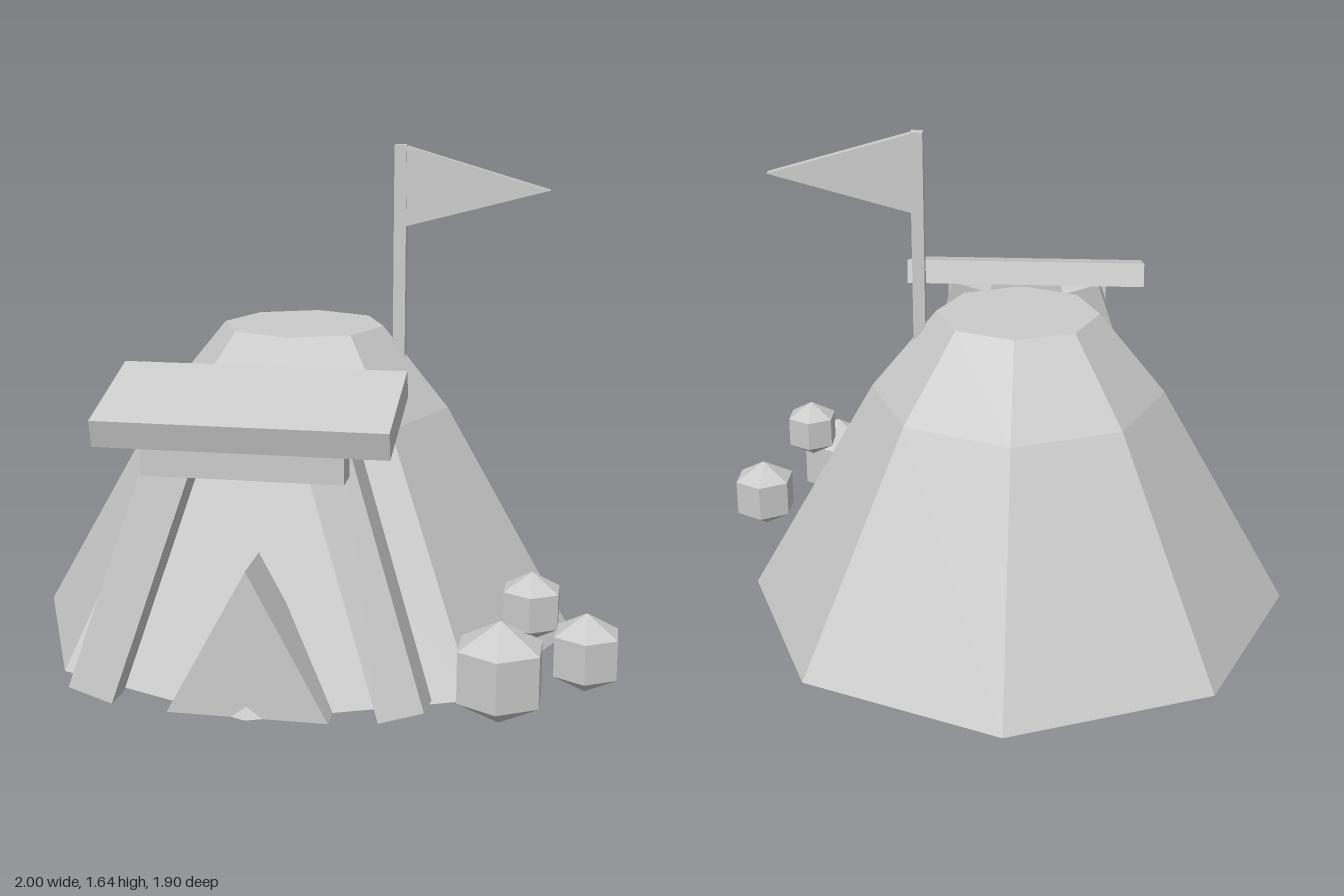
import * as THREE from 'three';

const CX = -0.08; // axis of the hut and its porch
const CZ = -0.03;

export function createModel() {
  const group = new THREE.Group();
  const mat = new THREE.MeshStandardMaterial({ color: 0xcccccc, flatShading: true });

  const add = (name, geometry, x, y, z) => {
    const mesh = new THREE.Mesh(geometry, mat);
    mesh.name = name;
    mesh.position.set(x, y, z);
    group.add(mesh);
    return mesh;
  };

  // Solid triangle, extruded along z
  const triangle = (points, depth) =>
    new THREE.ExtrudeGeometry(
      new THREE.Shape(points.map(([x, y]) => new THREE.Vector2(x, y))),
      { depth, bevelEnabled: false }
    );

  // Eight-sided hut, steeper below and shallower above, with a flat top
  const profile = [[0, 0.015], [0.92, 0.015], [0.49, 0.775], [0.27, 1.045], [0, 1.045]];
  add('hutBody', new THREE.LatheGeometry(profile.map(([r, y]) => new THREE.Vector2(r, y)), 8), CX, 0, CZ);

  // Pointed doorway
  add('doorway', triangle([[-0.245, 0.015], [0.245, 0.015], [0, 0.47]], 0.185), CX, 0, 0.685);

  // Porch posts, leaning inwards and back
  const postLength = 0.9;
  for (const side of [-1, 1]) {
    const post = add(side > 0 ? 'leftPost' : 'rightPost',
      new THREE.BoxGeometry(0.14, postLength, 0.14).translate(0, postLength / 2, 0),
      CX + side * 0.47, 0.06, 0.845);
    post.rotation.set(-0.14, 0, side * 0.31, 'ZYX');
  }

  // Lintel and sloping porch roof
  add('lintel', new THREE.BoxGeometry(0.595, 0.14, 0.16), CX, 0.825, 0.825);
  const roof = add('porchRoof', new THREE.BoxGeometry(0.865, 0.085, 0.38), CX, 0.932, 0.76);
  roof.rotation.x = -Math.PI + Math.PI + 0.27;

  // Flagpole and pennant
  add('flagpole', new THREE.BoxGeometry(0.04, 0.745, 0.042), 0.245, 1.2725, -0.028);
  add('pennant', triangle([[0.26, 1.38], [0.73, 1.505], [0.26, 1.642]], 0.036), 0, 0, -0.046);

  // Faceted boulders beside the door: radius, x, y, z
  const boulders = [
    [0.16, 0.655, 0.16, 0.735],
    [0.128, 0.9, 0.13, 0.457],
    [0.107, 0.737, 0.33, 0.62],
  ];
  boulders.forEach(([r, x, y, z], i) => {
    add(`boulder${i + 1}`, new THREE.SphereGeometry(r, 6, 3).rotateY(Math.PI / 6), x, y, z);
  });

  return group;
}
